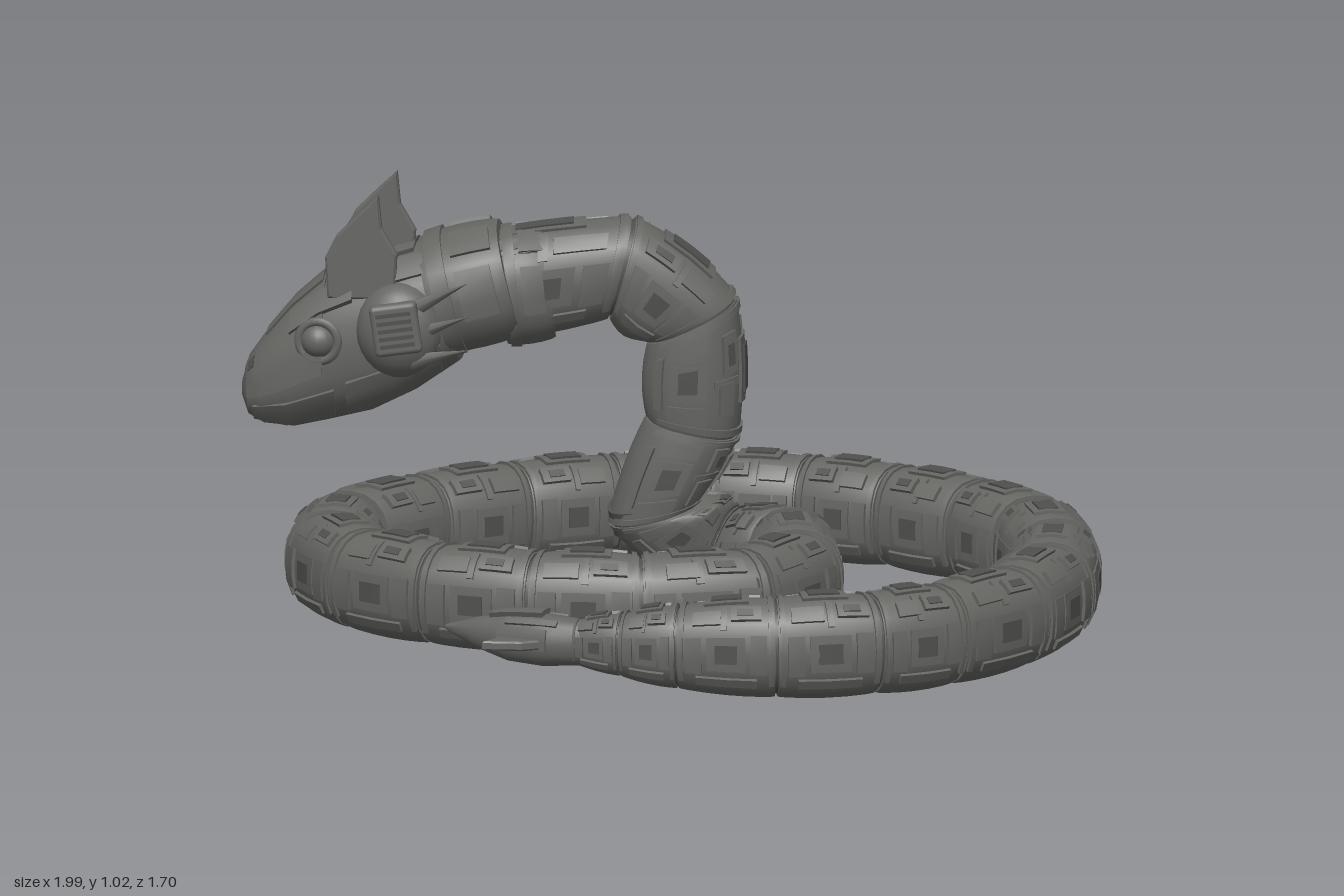
import * as THREE from 'three';
import { mergeGeometries, toCreasedNormals } from 'three/addons/utils/BufferGeometryUtils.js';
import { RoundedBoxGeometry } from 'three/addons/geometries/RoundedBoxGeometry.js';

const shell = new THREE.MeshStandardMaterial({ name: 'gunmetal', color: 0x666663 });
const recess = new THREE.MeshStandardMaterial({ name: 'dark gunmetal', color: 0x50504e });
const V = (x, y, z) => new THREE.Vector3(x, y, z);
const RAD = Math.PI / 180;

// surface through rows of points; rows run along the body, columns around it
function grid(rows, crease = 0.6) {
  const n = rows[0].length, pos = rows.flat().flatMap(p => [p.x, p.y, p.z]), idx = [];
  for (let i = 0; i < rows.length - 1; i++) for (let j = 0; j < n - 1; j++) {
    const a = i * n + j, b = a + n;
    idx.push(a, b, b + 1, a, b + 1, a + 1);
  }
  const g = new THREE.BufferGeometry();
  g.setAttribute('position', new THREE.Float32BufferAttribute(pos, 3));
  g.setIndex(idx);
  return toCreasedNormals(g, crease);
}

// point on a softly squared oval ring, angle 0 being the back of the body
function ringPoint(c, up, side, h, w, a) {
  const q = v => Math.sign(v) * Math.abs(v) ** 0.85;
  return c.clone().addScaledVector(up, q(Math.cos(a)) * h).addScaledVector(side, q(Math.sin(a)) * w);
}

// closed skin over a surface function surf(t, angle, lift, scale)
function skin(surf, ts, sides = 20) {
  const ring = (t, k) => Array.from({ length: sides + 1 }, (_, j) => surf(t, j / sides * Math.PI * 2, 0, k));
  const first = ts[0], last = ts[ts.length - 1];
  return grid([ring(first, 0), ...ts.map(t => ring(t, 1)), ring(last, 0)]);
}

// raised plate that follows the surface, with a skirt sunk into it
function plate(surf, t0, t1, d0, d1, lift, nt = 2) {
  const na = Math.max(1, Math.ceil((d1 - d0) / 18)), rows = [];
  for (let i = -1; i <= nt + 1; i++) {
    const t = t0 + (t1 - t0) * Math.min(Math.max(i / nt, 0), 1), row = [];
    for (let j = -1; j <= na + 1; j++) {
      const a = d0 + (d1 - d0) * Math.min(Math.max(j / na, 0), 1);
      const edge = i < 0 || j < 0 || i > nt || j > na;
      row.push(surf(t, a * RAD, edge ? -0.008 : lift, 1));
    }
    rows.push(row);
  }
  return grid(rows, 0.5);
}
const mirrored = (surf, list) => list.flatMap(([t0, t1, a, b, l]) =>
  [plate(surf, t0, t1, a, b, l), plate(surf, t0, t1, -b, -a, l)]);

// surface of one body segment between two joints {p, tan, up, w, h}
function segmentSurface(A, B, bulge = 0.07) {
  return (t, a, lift, k) => {
    const tan = A.tan.clone().lerp(B.tan, t).normalize();
    const up = A.up.clone().lerp(B.up, t).addScaledVector(tan, 0);
    up.addScaledVector(tan, -up.dot(tan)).normalize();
    const side = up.clone().cross(tan);
    const m = (1 - bulge + bulge * Math.sin(Math.PI * Math.min(Math.max(t, 0), 1)) ** 0.6) * k;
    const mix = key => (A[key] + (B[key] - A[key]) * t) * m + lift;
    return ringPoint(A.p.clone().lerp(B.p, t), up, side, mix('h'), mix('w'), a);
  };
}

function makeJoints(points) {
  const js = points.map(([x, y, z, w = 0.103, h = 0.119, up = [0, 1, 0]]) => ({ p: V(x, y, z), w, h, up: V(...up) }));
  const dir = (a, b) => b.p.clone().sub(a.p).normalize();
  js.forEach((j, i) => {
    j.tan = V(0, 0, 0);
    if (i > 0) j.tan.add(dir(js[i - 1], j));
    if (i < js.length - 1) j.tan.add(dir(j, js[i + 1]));
    j.tan.normalize();
    j.up.addScaledVector(j.tan, -j.up.dot(j.tan)).normalize();
  });
  return js;
}

export function createModel() {
  const model = new THREE.Group();
  const add = (name, geo, mat = shell, parent = model) => {
    const m = new THREE.Mesh(geo, mat);
    m.name = name;
    parent.add(m);
    return m;
  };

  // body path: neck, inner coil, outer coil, taper
  const Y = 0.147;
  const flat = [[0.25, -0.18], [0.3, 0.045], [0.21, 0.26], [-0.03, 0.335], [-0.27, 0.335], [-0.5, 0.28],
    [-0.69, 0.15], [-0.79, -0.03], [-0.77, -0.23], [-0.62, -0.43], [-0.43, -0.58], [-0.22, -0.69], [0.01, -0.75],
    [0.23, -0.73], [0.44, -0.655], [0.64, -0.53], [0.79, -0.37], [0.87, -0.14], [0.885, 0.11], [0.83, 0.36],
    [0.69, 0.57], [0.54, 0.68], [0.33, 0.745]].map(([x, z]) => [x, Y, z]);
  const joints = makeJoints([
    [-0.5, 0.755, -0.17, 0.11, 0.125], [-0.14, 0.81, -0.22, 0.11, 0.127, [0.5, 1, 0]],
    [0.02, 0.69, -0.245, 0.11, 0.12, [1, 0.5, 0]], [0.02, 0.44, -0.25, 0.11, 0.115, [1, -0.2, 0]],
    [-0.07, 0.24, -0.25, 0.11, 0.115, [1, 0.2, 0]], [0.08, 0.128, -0.29], ...flat,
    [0.11, 0.145, 0.755, 0.085, 0.1], [-0.02, 0.145, 0.75, 0.066, 0.075], [-0.13, 0.145, 0.735, 0.045, 0.052]]);

  const spans = [0.015, 0.05, 0.12, 0.3, 0.5, 0.7, 0.88, 0.95, 0.985];
  for (let i = 0; i < joints.length - 1; i++) {
    const surf = segmentSurface(joints[i], joints[i + 1]), s = (i % 3) * 0.03, seg = new THREE.Group();
    seg.name = i < 5 ? 'neckSegment' : 'coilSegment';
    model.add(seg);
    add('segmentShell', skin(surf, spans), shell, seg);
    // armour plates along the back and sides
    add('armourPlates', mergeGeometries([
      plate(surf, 0.03, 0.08, -125, 125, 0.006), plate(surf, 0.92, 0.97, -125, 125, 0.006),
      plate(surf, 0.27, 0.73, -17, 17, 0.007),
      ...mirrored(surf, [[0.12 + s, 0.42 + s, 28, 50, 0.009], [0.55, 0.86 - s, 34, 55, 0.008],
        [0.1, 0.26, 70, 108, 0.007], [0.74, 0.9, 72, 110, 0.007], [0.31, 0.69, 72, 106, 0.004],
        [0.2, 0.8, 116, 128, 0.006], [0.46 + s, 0.52 + s, 24, 62, 0.005]])]), shell, seg);
    add('panelWindows', mergeGeometries([plate(surf, 0.34, 0.66, -9, 9, 0.01),
      ...mirrored(surf, [[0.39, 0.61, 81, 97, 0.006], [0.2 + s, 0.36 + s, 34, 44, 0.011]])]), recess, seg);
    // inner core bridging the joint
    if (i > 0) {
      const { p, tan, up, w, h } = joints[i];
      const end = d => ({ p: p.clone().addScaledVector(tan, d), tan, up, w: w * 0.88, h: h * 0.88 });
      add('jointCore', skin(segmentSurface(end(-0.03), end(0.03), 0), [0, 1]), recess, seg);
    }
  }

  // collar and sleeve behind the head
  const collar = (name, a, b) => {
    const [A, B] = makeJoints([a, b]), surf = segmentSurface(A, B, 0.06);
    add(name, skin(surf, [0, 0.1, 0.3, 0.5, 0.7, 0.9, 1], 24));
    add(name + 'Plates', mergeGeometries([plate(surf, 0.08, 0.3, -150, 150, 0.009),
      ...mirrored(surf, [[0.4, 0.9, 15, 48, 0.008], [0.4, 0.85, 65, 105, 0.008]])]));
  };
  collar('collar', [-0.57, 0.745, -0.172, 0.165, 0.14], [-0.39, 0.79, -0.185, 0.16, 0.14]);
  collar('neckSleeve', [-0.41, 0.765, -0.185, 0.13, 0.137], [-0.3, 0.775, -0.2, 0.118, 0.132]);

  // head sections: x, bottom, top, centre z, half width
  const H = [[-1, 0.505, 0.55, -0.14, 0.03], [-0.985, 0.465, 0.595, -0.14, 0.06], [-0.95, 0.445, 0.645, -0.145, 0.088],
    [-0.88, 0.438, 0.73, -0.15, 0.112], [-0.8, 0.455, 0.8, -0.16, 0.135], [-0.7, 0.48, 0.84, -0.165, 0.15],
    [-0.6, 0.53, 0.87, -0.17, 0.155], [-0.5, 0.6, 0.885, -0.172, 0.145]];
  const headSurf = (t, a, lift, k) => {
    const f = Math.min(t, 0.9999) * (H.length - 1), i = Math.floor(f);
    const [x, b, top, z, w] = H[i].map((v, n) => v + (H[i + 1][n] - v) * (f - i));
    return ringPoint(V(x, (b + top) / 2, z), V(0, 1, 0), V(0, 0, -1), (top - b) / 2 * k + lift, w * k + lift, a);
  };
  const head = new THREE.Group();
  head.name = 'head';
  model.add(head);
  add('skull', skin(headSurf, Array.from({ length: 15 }, (_, i) => i / 14), 24), shell, head);
  add('upperJaw', plate(headSurf, 0.07, 0.56, -100, 100, 0.008, 7), shell, head);
  add('headPlates', mergeGeometries([plate(headSurf, 0.3, 0.55, -22, 22, 0.014, 4),
    plate(headSurf, 0.6, 0.85, -20, 20, 0.01, 3),
    ...mirrored(headSurf, [[0.42, 0.66, 36, 58, 0.02], [0.2, 0.6, 116, 150, 0.007], [0.64, 0.95, 112, 150, 0.009],
      [0.68, 0.92, 28, 52, 0.01]])]), shell, head);
  add('nostrils', mergeGeometries(mirrored(headSurf, [[0.15, 0.21, 38, 58, 0.011]])), recess, head);

  // three blade crests
  const ear = new THREE.Shape([[-0.76, 0.8], [-0.765, 0.89], [-0.74, 0.94], [-0.69, 0.99], [-0.65, 1.03],
    [-0.645, 0.96], [-0.61, 0.9], [-0.615, 0.8]].map(p => new THREE.Vector2(...p)));
  const earGeo = new THREE.ExtrudeGeometry(ear, { depth: 0.014, bevelSize: 0.005, bevelThickness: 0.006, bevelSegments: 1 });
  for (const [x, y, z] of [[0, 0, -0.162], [-0.03, -0.035, -0.052], [-0.03, -0.055, -0.287]])
    add('crestBlade', earGeo, shell, head).position.set(x, y, z);

  // eyes, vents and swept quills on both sides
  for (const s of [1, -1]) {
    const at = (m, x, y, off) => { m.position.set(x, y, -0.165 + s * off); return m; };
    at(add('eye', new THREE.SphereGeometry(0.042, 20, 14), shell, head), -0.815, 0.66, 0.12);
    const rim = at(add('eyeRim', new THREE.TorusGeometry(0.046, 0.011, 8, 24), shell, head), -0.815, 0.66, 0.134);
    rim.rotation.y = -s * 0.15;
    const cheek = at(add('cheek', new THREE.SphereGeometry(1, 20, 14), shell, head), -0.63, 0.69, 0.125);
    cheek.scale.set(0.1, 0.11, 0.075);
    const vent = new THREE.Group();
    vent.name = 'cheekVent';
    vent.rotation.z = 0.15;
    head.add(at(vent, -0.63, 0.705, 0.182));
    add('ventBox', new RoundedBoxGeometry(0.11, 0.12, 0.04, 2, 0.012), shell, vent);
    for (let i = 0; i < 5; i++)
      add('ventSlat', new THREE.BoxGeometry(0.08, 0.009, 0.008), recess, vent).position.set(0, -0.036 + i * 0.018, s * 0.02);
    for (let i = 0; i < 3; i++) {
      const quill = at(add('quill', new THREE.ConeGeometry(0.022, 0.14, 6), shell, head), -0.53, 0.64 + i * 0.07, 0.165);
      quill.rotation.z = -1.35 + i * 0.12;
      quill.scale.z = 0.6;
    }
  }

  // tail tip with two swept fins
  const tail = makeJoints([[-0.1, 0.145, 0.742, 0.045, 0.052], [-0.2, 0.145, 0.718, 0.06, 0.06],
    [-0.28, 0.145, 0.695, 0.054, 0.055], [-0.36, 0.148, 0.665, 0.035, 0.036], [-0.44, 0.15, 0.63, 0.006, 0.006]]);
  const tailSurf = (t, a, lift, k) => {
    const f = Math.min(t, 0.9999) * 4, i = Math.floor(f);
    return segmentSurface(tail[i], tail[i + 1], 0)(f - i, a, lift, k);
  };
  add('tailTip', skin(tailSurf, Array.from({ length: 13 }, (_, i) => i / 12), 16));
  add('tailPlates', mergeGeometries([plate(tailSurf, 0.25, 0.65, -20, 20, 0.012, 3),
    ...mirrored(tailSurf, [[0.2, 0.55, 60, 100, 0.006], [0.15, 0.5, 34, 50, 0.007]])]));
  const fin = new THREE.Shape([[0.08, 0.03], [0.02, 0.09], [-0.06, 0.118], [-0.05, 0.085], [-0.05, 0.03]]
    .map(p => new THREE.Vector2(...p)));
  for (const s of [1, -1]) {
    const f = add('tailFin', new THREE.ExtrudeGeometry(fin, { depth: 0.014, bevelSize: 0.004, bevelThickness: 0.004, bevelSegments: 1 }));
    f.rotation.set(s * Math.PI / 2, 0, 0);
    const holder = new THREE.Group();
    holder.name = 'tailFinMount';
    holder.position.set(-0.24, 0.145, 0.705);
    holder.rotation.y = -0.3;
    holder.add(f);
    f.position.y = s * 0.007;
    model.add(holder);
  }
  return model;
}
